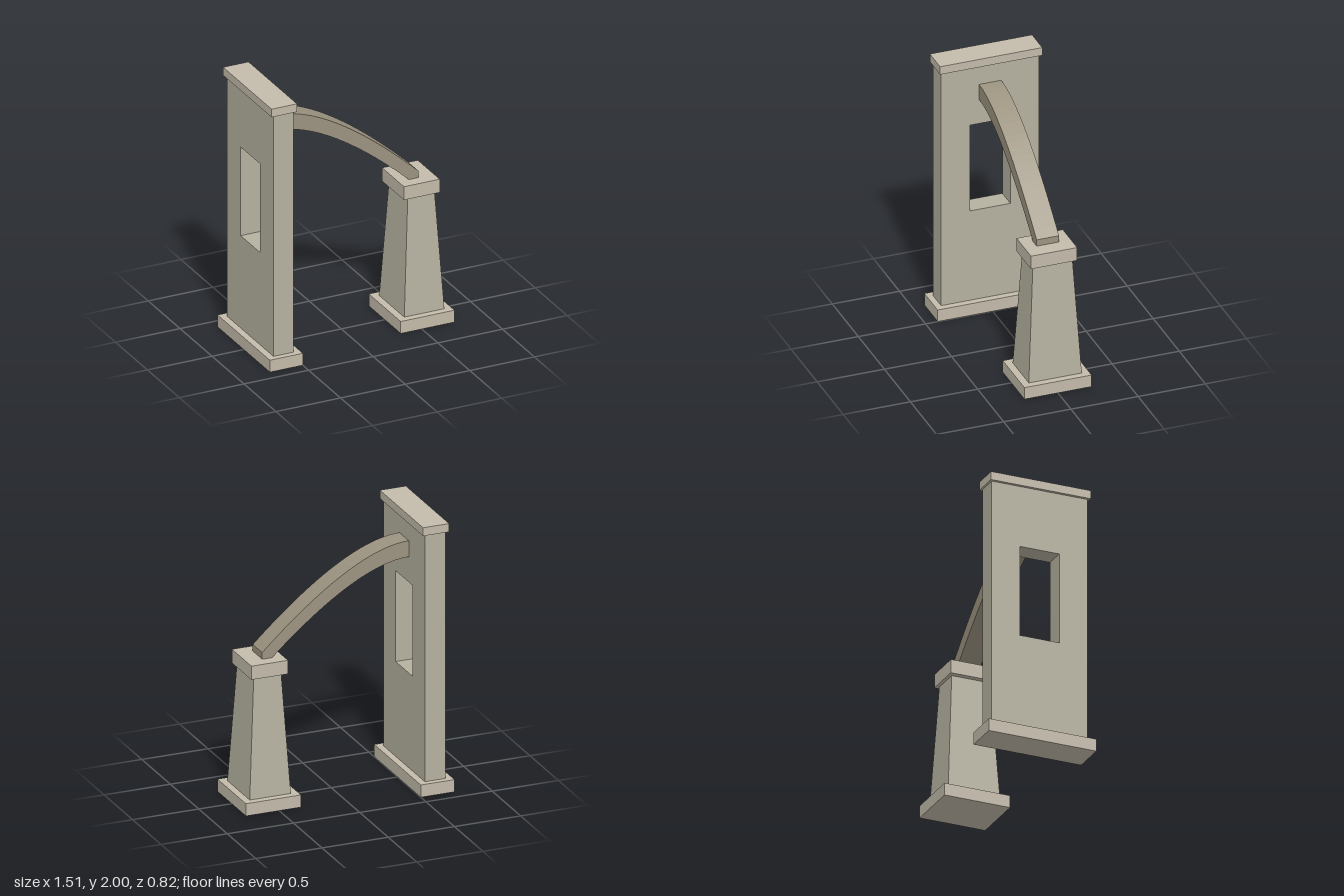
import * as THREE from 'three';

const material = (color) => new THREE.MeshStandardMaterial({ color, flatShading: true });

export function createModel() {
  const model = new THREE.Group();
  model.name = 'flyingButtress';
  const wallStone = material(0xb5b1a0);
  const trimStone = material(0xc3bbaa);
  const archStone = material(0x9c9380);

  const add = (name, geometry, mat, parent) => {
    const mesh = new THREE.Mesh(geometry, mat);
    mesh.name = name;
    parent.add(mesh);
    return mesh;
  };
  // Block given by its x range, y range and half depth in z
  const block = (name, x0, x1, y0, y1, halfZ, parent) => add(name,
    new THREE.BoxGeometry(x1 - x0, y1 - y0, 2 * halfZ)
      .translate((x0 + x1) / 2, (y0 + y1) / 2, 0), trimStone, parent);

  // Wall: tall slab pierced by a window, with plinth and coping
  const wall = new THREE.Group();
  wall.name = 'wall';
  const rectangle = (path, halfW, y0, y1) => path
    .moveTo(-halfW, y0).lineTo(halfW, y0).lineTo(halfW, y1).lineTo(-halfW, y1).closePath();
  const slab = rectangle(new THREE.Shape(), 0.365, 0.09, 1.94);
  slab.holes.push(rectangle(new THREE.Path(), 0.15, 0.8, 1.48));
  add('wallSlab', new THREE.ExtrudeGeometry(slab, { depth: 0.155, bevelEnabled: false })
    .rotateY(-Math.PI / 2).translate(-0.55, 0, 0), wallStone, wall);
  block('wallPlinth', -0.755, -0.5, 0, 0.092, 0.41, wall);
  block('wallCoping', -0.727, -0.53, 1.938, 2, 0.38, wall);

  // Pier: tapered shaft between plinth and cap
  const pier = new THREE.Group();
  pier.name = 'pier';
  const shaft = new THREE.BoxGeometry(1, 0.89, 1);
  const p = shaft.attributes.position;
  for (let i = 0; i < p.count; i++) {
    const top = p.getY(i) > 0;
    p.setX(i, p.getX(i) * (top ? 0.207 : 0.31));
    p.setZ(i, p.getZ(i) * (top ? 0.294 : 0.394));
  }
  shaft.translate(0.545, 0.535, 0);
  shaft.computeVertexNormals();
  add('pierShaft', shaft, wallStone, pier);
  block('pierPlinth', 0.336, 0.752, 0, 0.092, 0.25, pier);
  block('pierCap', 0.4, 0.677, 0.978, 1.08, 0.172, pier);

  // Flyer: curved strut of constant vertical thickness, sunk into the pier cap
  const t = 0.12;
  const flyer = new THREE.Shape();
  flyer.moveTo(-0.55, 1.79 - t);
  flyer.quadraticCurveTo(-0.14, 1.79 - t, 0.557, 1.13 - t);
  flyer.lineTo(0.557, 1.13);
  flyer.quadraticCurveTo(-0.14, 1.79, -0.55, 1.79);
  flyer.closePath();
  add('flyerArch', new THREE.ExtrudeGeometry(flyer, { depth: 0.166, bevelEnabled: false, curveSegments: 24 })
    .translate(0, 0, -0.083), archStone, model);

  model.add(wall, pier);
  return model;
}
